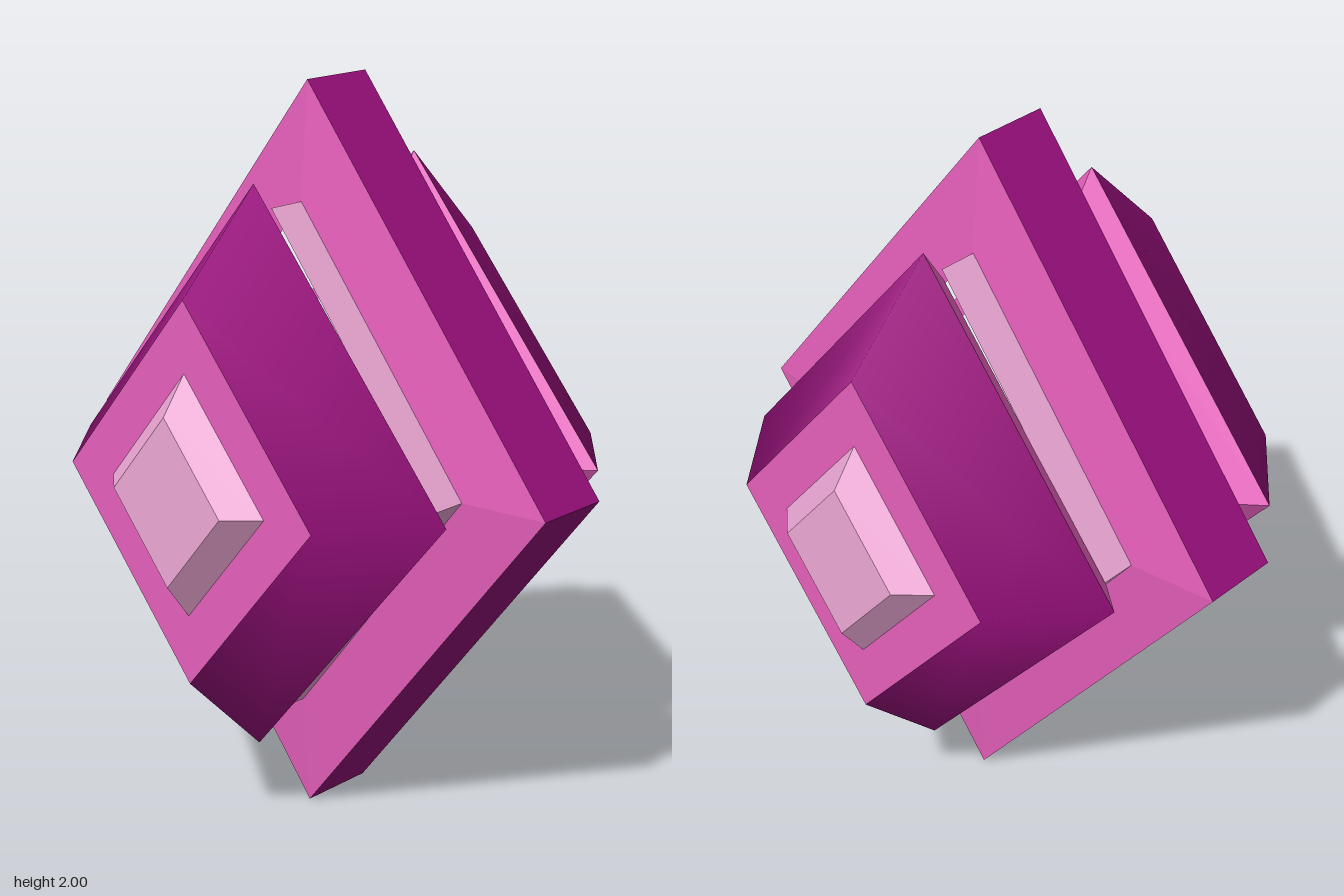
import * as THREE from 'three';

const paint = (color, flatShading = true) => new THREE.MeshStandardMaterial({ color, flatShading });

// Four-sided diamond band along x, from radius r0 at x0 to radius r1 at x1
function band(name, x0, r0, x1, r1, depth, material, open = true) {
  const g = new THREE.CylinderGeometry(r1, r0, x1 - x0, 4, 1, open);
  g.rotateZ(-Math.PI / 2);
  g.scale(1, 1, depth);
  g.translate((x0 + x1) / 2, 0, 0);
  const mesh = new THREE.Mesh(g, material);
  mesh.name = name;
  return mesh;
}

// Flat diamond facing +x
function plate(name, x, r, depth, material) {
  const g = new THREE.CircleGeometry(r, 4);
  g.rotateY(Math.PI / 2);
  g.scale(1, 1, depth);
  g.translate(x, 0, 0);
  const mesh = new THREE.Mesh(g, material);
  mesh.name = name;
  return mesh;
}

export function createModel() {
  const dark = paint(0x960f7a);
  const darkSmooth = paint(0x960f7a, false);
  const pink = paint(0xe660bc);
  const pale = paint(0xeea8d6);
  const wide = 0.79, drum = 0.84; // z to y proportions of the diamonds

  const model = new THREE.Group();
  model.name = 'diamondSpool';

  // Central disc rim
  model.add(band('discRim', -0.11, 1, 0.11, 1, wide, dark));

  // Both halves are the same, turned half a circle
  for (const [side, turn] of [['left', 0], ['right', Math.PI]]) {
    const half = new THREE.Group();
    half.name = side + 'Half';
    half.add(
      band('discFace', 0.11, 1, 0.134, 0.69, wide, pink),
      band('neck', 0.12, 0.69, 0.245, 0.69, wide, pale),
      band('drumInnerFace', 0.24, 0.66, 0.308, 0.762, drum, pink),
      band('drumWall', 0.308, 0.762, 0.562, 0.51, drum, darkSmooth),
      plate('drumEnd', 0.562, 0.51, drum, pink),
      band('endStud', 0.562, 0.322, 0.635, 0.225, drum, pale, false)
    );
    half.rotation.y = turn;
    model.add(half);
  }

  model.position.y = 1;
  const root = new THREE.Group();
  root.name = 'model';
  root.add(model);
  return root;
}
